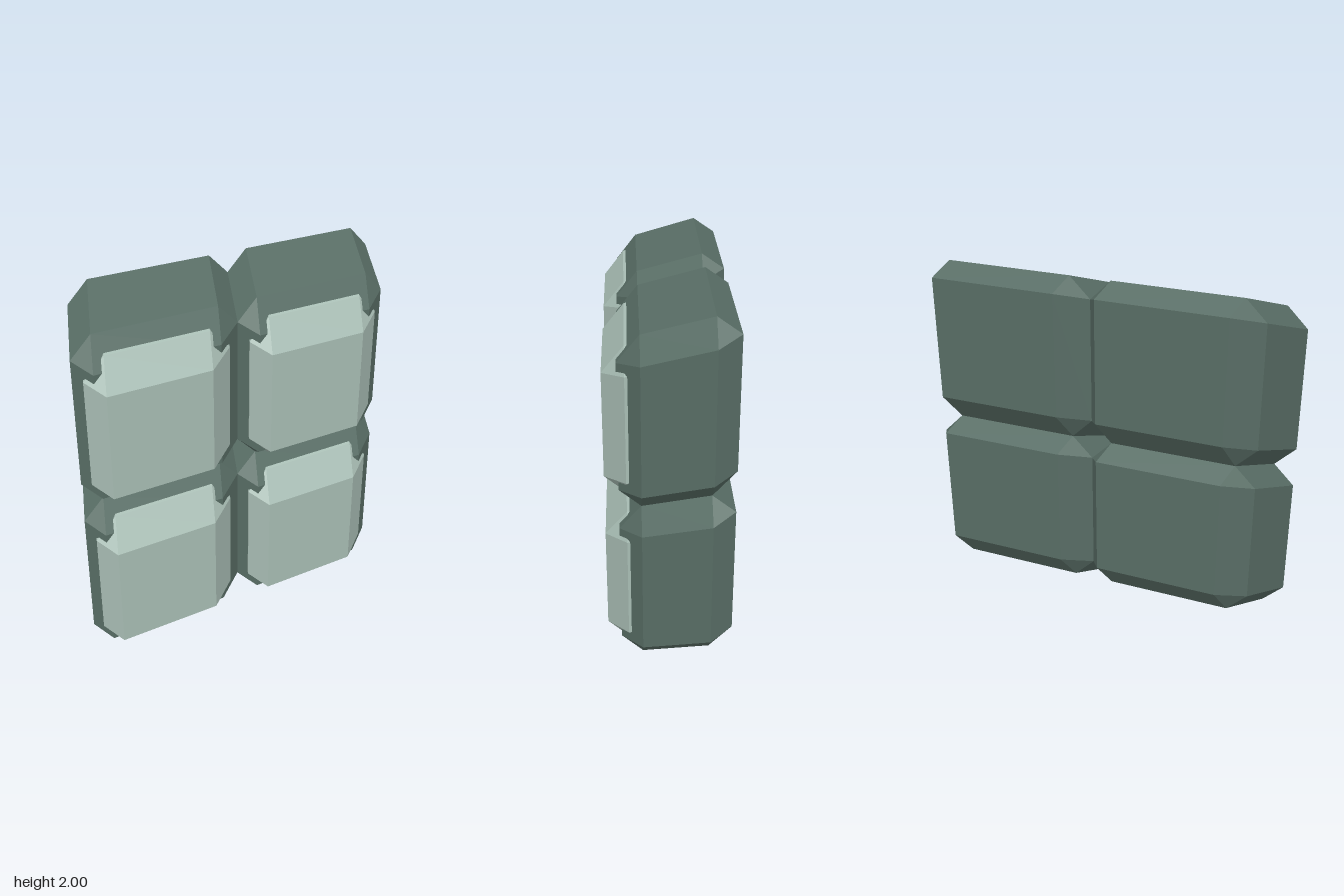
import * as THREE from 'three';
import { ConvexGeometry } from 'three/addons/geometries/ConvexGeometry.js';

const SHEAR = -0.4;  // sideways and upward lean per unit of depth
const BEVEL = 0.115;
const PITCH = 0.93;  // spacing of the blocks

// Square block with every edge chamfered, leaning along its depth
function bevelledBlock(half, back, front) {
  const mid = (front + back) / 2;
  const size = [half, half, (front - back) / 2];
  const points = [];
  for (const sx of [-1, 1]) for (const sy of [-1, 1]) for (const sz of [-1, 1]) {
    // each corner becomes a small triangle: one axis stays full size
    for (let axis = 0; axis < 3; axis++) {
      const [x, y, z] = size.map((s, i) => (i === axis ? s : s - BEVEL));
      points.push(new THREE.Vector3(sx * x, sy * y, mid + sz * z));
    }
  }
  const geometry = new ConvexGeometry(points);
  geometry.applyMatrix4(new THREE.Matrix4().set(
    1, 0, SHEAR, 0,
    0, 1, SHEAR, 0,
    0, 0, 1, 0,
    0, 0, 0, 1,
  ));
  geometry.computeVertexNormals();
  return geometry;
}

export function createModel() {
  const model = new THREE.Group();
  model.name = 'blockPanel';

  const darkMaterial = new THREE.MeshStandardMaterial({ color: 0x586d65, flatShading: true });
  const lightMaterial = new THREE.MeshStandardMaterial({ color: 0xa9beb5, flatShading: true });
  const bodyGeometry = bevelledBlock(0.465, -0.325, 0.25);
  // the core ends just inside the back of the body
  const coreGeometry = bevelledBlock(0.405, -0.315, 0.325);

  // Two by two grid of blocks, each a dark body with a light core
  for (let row = 0; row < 2; row++) {
    for (let column = 0; column < 2; column++) {
      const block = new THREE.Group();
      block.name = (row ? 'upper' : 'lower') + (column ? 'Left' : 'Right') + 'Block';

      const body = new THREE.Mesh(bodyGeometry, darkMaterial);
      body.name = 'body';
      const core = new THREE.Mesh(coreGeometry, lightMaterial);
      core.name = 'frontPad';

      block.add(body, core);
      block.position.set(-0.48 + column * PITCH, 0.52 + row * PITCH, 0);
      model.add(block);
    }
  }
  return model;
}
